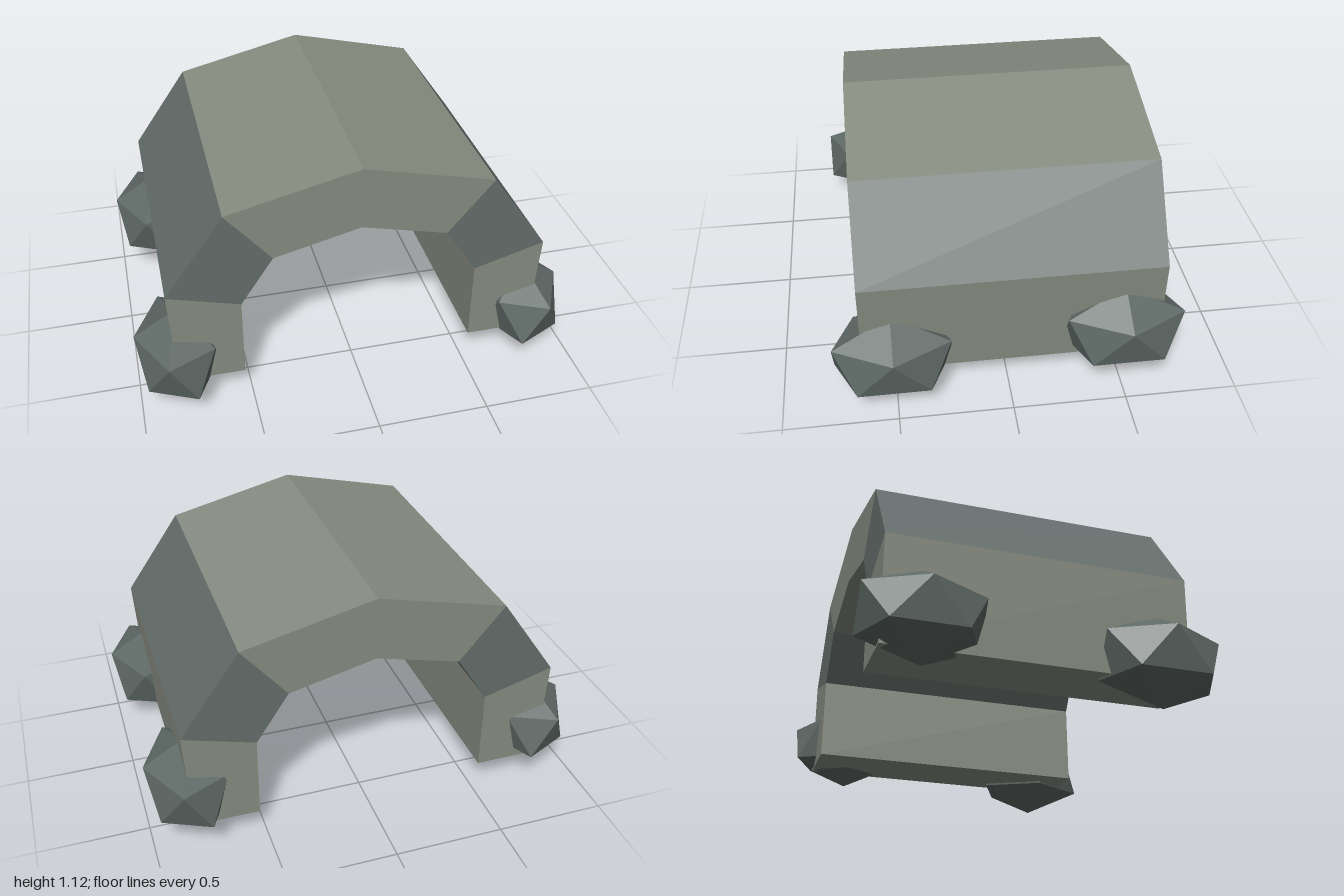
import * as THREE from 'three';
import { ConvexGeometry } from 'three/addons/geometries/ConvexGeometry.js';

const paint = (name, color) => {
  const m = new THREE.MeshStandardMaterial({ color });
  m.name = name;
  return m;
};

const Z_BACK = -0.68, Z_FRONT = 0.645;

// One block of the arch: a front outline pushed along z
function archBlock(points) {
  const shape = new THREE.Shape(points.map(([x, y]) => new THREE.Vector2(x, y)));
  const g = new THREE.ExtrudeGeometry(shape, { depth: Z_FRONT - Z_BACK, bevelEnabled: false });
  return g.translate(0, 0, Z_BACK);
}

// Stretched icosahedron with its poles up and down; an upper corner points to +x * side
function boulder(side) {
  const r = 0.21, ring = r * 0.8944, h = r * 0.4472, stretch = 1.44;
  const pts = [new THREE.Vector3(0, r, 0), new THREE.Vector3(0, -r, 0)];
  for (let i = 0; i < 10; i++) {
    const a = (i * Math.PI) / 5;
    pts.push(new THREE.Vector3(
      side * ring * Math.cos(a), i % 2 ? -h : h, ring * stretch * Math.sin(a)));
  }
  return new ConvexGeometry(pts);
}

export function createModel() {
  const model = new THREE.Group();
  model.name = 'stoneArch';
  const lightStone = paint('light stone', 0x868c80);
  const slateStone = paint('slate stone', 0x646e6b);
  const rock = paint('dark rock', 0x5d6864);

  const add = (name, geometry, material) => {
    const mesh = new THREE.Mesh(geometry, material);
    mesh.name = name;
    model.add(mesh);
    return mesh;
  };

  // Crown across the top
  add('crown', archBlock([
    [0, 1.117], [-0.587, 0.976], [-0.385, 0.732],
    [0, 0.827], [0.385, 0.732], [0.587, 0.976],
  ]), lightStone);

  for (const side of [1, -1]) {
    const label = side > 0 ? 'left' : 'right';
    const mirror = (pts) => pts.map(([x, y]) => [x * side, y]);

    // Sloping shoulder and upright leg
    add(label + 'Shoulder', archBlock(mirror([
      [0.587, 0.976], [0.385, 0.732], [0.53, 0.51], [0.85, 0.602],
    ])), slateStone);
    add(label + 'Leg', archBlock(mirror([
      [0.85, 0.602], [0.53, 0.51], [0.53, 0.127], [0.822, 0.127],
    ])), lightStone);

    // Boulders at the foot of the leg
    add(label + 'FrontBoulder', boulder(side), rock).position.set(0.812 * side, 0.212, 0.512);
    add(label + 'BackBoulder', boulder(side), rock).position.set(0.812 * side, 0.268, -0.512);
  }
  return model;
}
